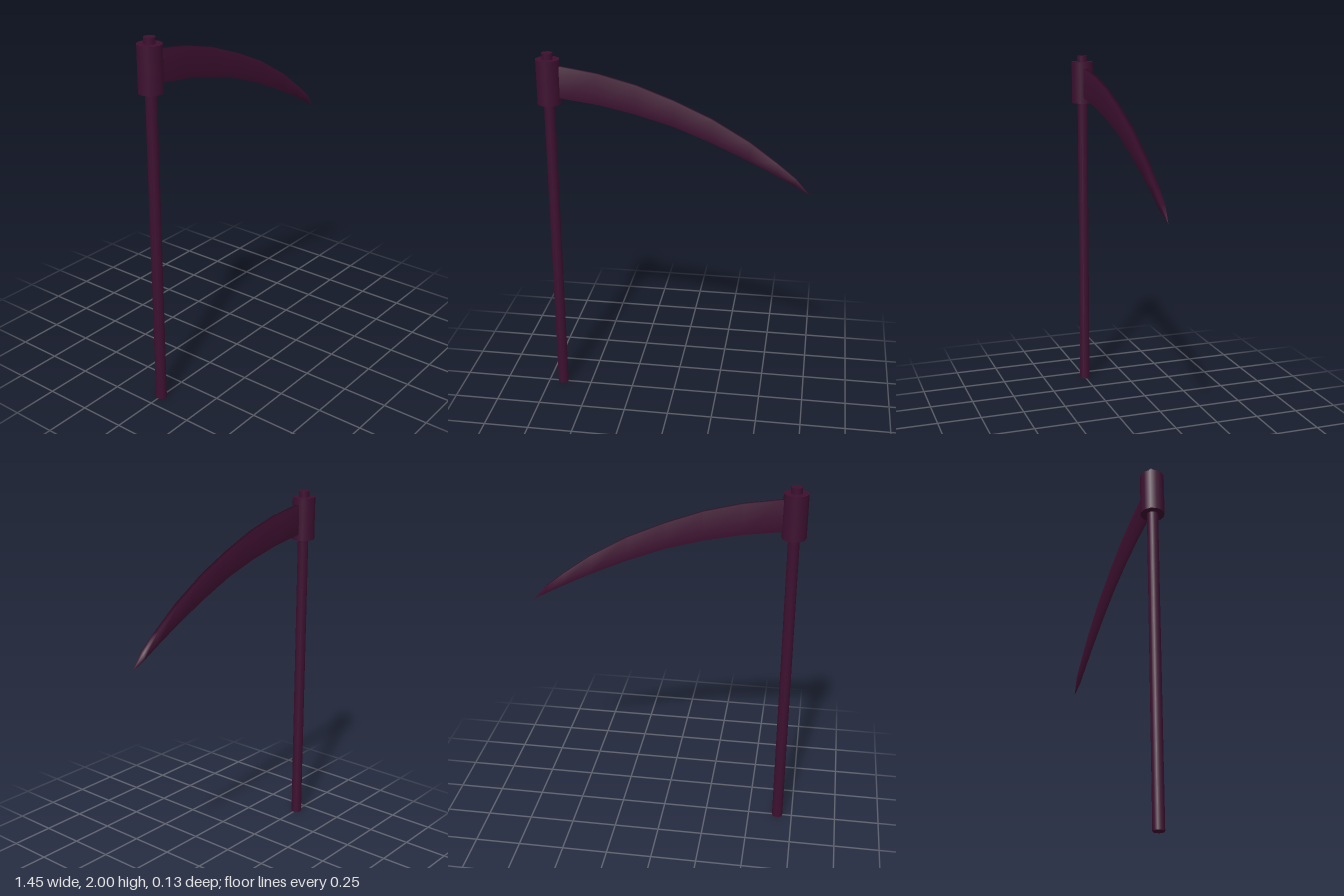
import * as THREE from 'three';

const POLE_X = -0.667;

// Curved blade: thin rectangular sections, tapering to a point
function bladeGeometry() {
  // x, upper edge y, lower edge y, half thickness
  const sections = [
    [-0.66, 1.94, 1.765, 0.012], [-0.6, 1.928, 1.76, 0.012], [-0.4, 1.897, 1.733, 0.012],
    [-0.2, 1.845, 1.69, 0.012], [0, 1.77, 1.632, 0.012], [0.2, 1.68, 1.553, 0.012],
    [0.4, 1.563, 1.463, 0.012], [0.55, 1.453, 1.387, 0.012], [0.65, 1.372, 1.333, 0.011],
    [0.722, 1.29, 1.29, 0],
  ];
  const positions = [], index = [];
  sections.forEach(([x, top, bottom, t], i) => {
    positions.push(x, top, t, x, top, -t, x, bottom, -t, x, bottom, t);
    if (i === 0) return;
    for (let j = 0; j < 4; j++) {
      const k = (j + 1) % 4, a = (i - 1) * 4, b = i * 4;
      index.push(a + j, b + j, b + k, a + j, b + k, a + k);
    }
  });
  index.push(0, 1, 2, 0, 2, 3); // root cap, inside the collar
  const geometry = new THREE.BufferGeometry();
  geometry.setAttribute('position', new THREE.Float32BufferAttribute(positions, 3));
  geometry.setIndex(index);
  geometry.computeVertexNormals();
  return geometry;
}

export function createModel() {
  const group = new THREE.Group();
  group.name = 'scythe';
  const material = new THREE.MeshStandardMaterial({ color: 0x3d1030 });

  const add = (name, geometry) => {
    const mesh = new THREE.Mesh(geometry, material);
    mesh.name = name;
    group.add(mesh);
  };
  const rod = (radius, bottom, top) =>
    new THREE.CylinderGeometry(radius, radius, top - bottom, 12)
      .translate(POLE_X, (top + bottom) / 2, 0);

  add('pole', rod(0.03, 0, 2));
  add('collar', rod(0.064, 1.727, 1.967));
  add('blade', bladeGeometry());
  return group;
}
